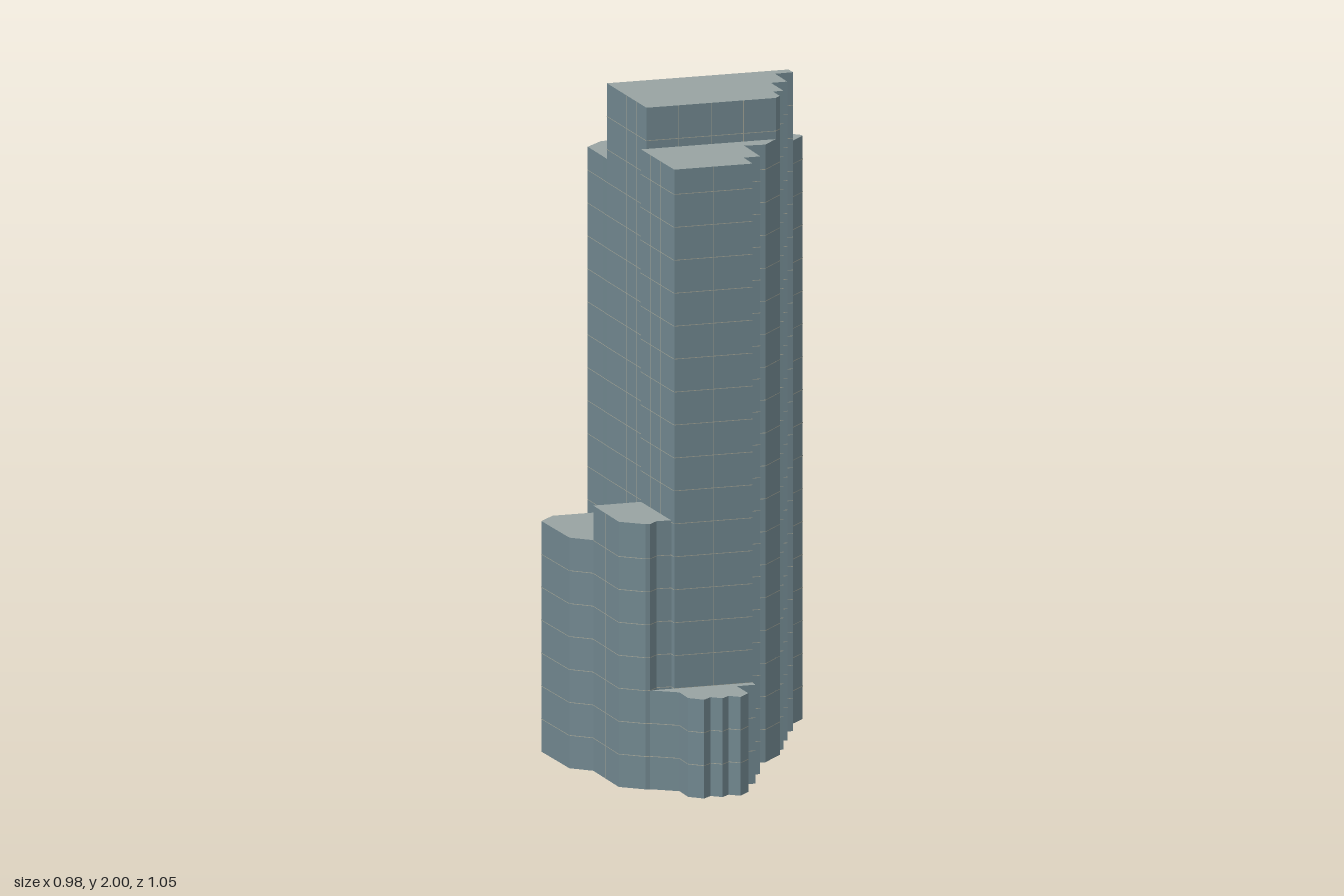
import * as THREE from 'three';
import { mergeGeometries } from 'three/addons/utils/BufferGeometryUtils.js';

const wall = new THREE.MeshStandardMaterial({ color: 0x71878f });
wall.name = 'blue grey wall';
const roof = new THREE.MeshStandardMaterial({ color: 0x98a3a1 });
roof.name = 'pale grey roof';
const joint = new THREE.MeshStandardMaterial({ color: 0xa3a699 });
joint.name = 'pale joint line';

const FLOOR = 0.1, BAY = 0.1, LINE = 0.002, OFFSET = 0.001;

// Footprints as [x, z], clockwise seen from above, with the height of each block
const blocks = [
  { name: 'backWing', height: 1.77, plan: [
    [-0.13, -0.527], [-0.118, -0.522], [-0.087, -0.441], [-0.098, -0.424], [-0.057, -0.4], [-0.307, 0.112],
    [-0.345, 0.092], [-0.465, 0.033], [-0.492, -0.05], [-0.39, -0.264], [-0.309, -0.297], [-0.212, -0.499]] },
  { name: 'centralTower', height: 2, plan: [
    [-0.057, -0.4], [-0.021, -0.383], [-0.043, -0.33], [0.057, -0.28], [0.035, -0.233], [0.137, -0.183],
    [0.123, -0.153], [0.179, -0.125], [0.19, -0.097], [0.012, 0.268], [-0.307, 0.112]] },
  { name: 'sideTower', height: 1.875, plan: [
    [0.19, -0.097], [0.221, -0.022], [0.187, 0.033], [0.323, 0.103], [0.301, 0.15], [0.376, 0.189],
    [0.27, 0.411], [0.246, 0.4], [0.004, 0.283], [0.012, 0.268]] },
  { name: 'lowAnnex', height: 0.3, plan: [
    [0.376, 0.189], [0.404, 0.205], [0.379, 0.258], [0.47, 0.302], [0.49, 0.355], [0.454, 0.369], [0.465, 0.405],
    [0.429, 0.419], [0.44, 0.458], [0.39, 0.475], [0.318, 0.438], [0.237, 0.48], [0.27, 0.411]] },
  { name: 'frontPodiumHigh', height: 0.805, plan: [
    [0.004, 0.283], [0.246, 0.4], [0.223, 0.438], [0.237, 0.48], [0.229, 0.491], [0.149, 0.523], [-0.06, 0.419]] },
  { name: 'frontPodiumLow', height: 0.7, plan: [
    [-0.345, 0.092], [-0.307, 0.112], [0.012, 0.268], [0.004, 0.283], [-0.06, 0.419], [-0.135, 0.444],
    [-0.354, 0.341], [-0.381, 0.266], [-0.326, 0.153]] },
];

// Upright prism over a footprint
function prism(plan, height) {
  const shape = new THREE.Shape(plan.map(([x, z]) => new THREE.Vector2(x, -z)));
  return new THREE.ExtrudeGeometry(shape, { depth: height, bevelEnabled: false }).rotateX(-Math.PI / 2);
}

// Hairline floor and bay joints on every facet
function joints(plan, height) {
  const strips = [];
  plan.forEach(([x0, z0], i) => {
    const [x1, z1] = plan[(i + 1) % plan.length];
    const dx = x1 - x0, dz = z1 - z0, length = Math.hypot(dx, dz);
    const nx = dz / length, nz = -dx / length;
    const add = (w, h, t, y) => strips.push(new THREE.PlaneGeometry(w, h)
      .rotateY(Math.atan2(nx, nz))
      .translate(x0 + dx * t + nx * OFFSET, y, z0 + dz * t + nz * OFFSET));
    for (let y = FLOOR; y < height - 0.02; y += FLOOR) add(length, LINE, 0.5, y);
    const bays = Math.round(length / BAY);
    for (let b = 1; b < bays; b++) add(LINE, height, b / bays, height / 2);
  });
  return mergeGeometries(strips);
}

export function createModel() {
  const model = new THREE.Group();
  model.name = 'steppedOfficeTower';
  for (const { name, height, plan } of blocks) {
    const block = new THREE.Group();
    block.name = name;
    const body = new THREE.Mesh(prism(plan, height), [roof, wall]);
    body.name = name + 'Body';
    const lines = new THREE.Mesh(joints(plan, height), joint);
    lines.name = name + 'Joints';
    block.add(body, lines);
    model.add(block);
  }
  return model;
}
